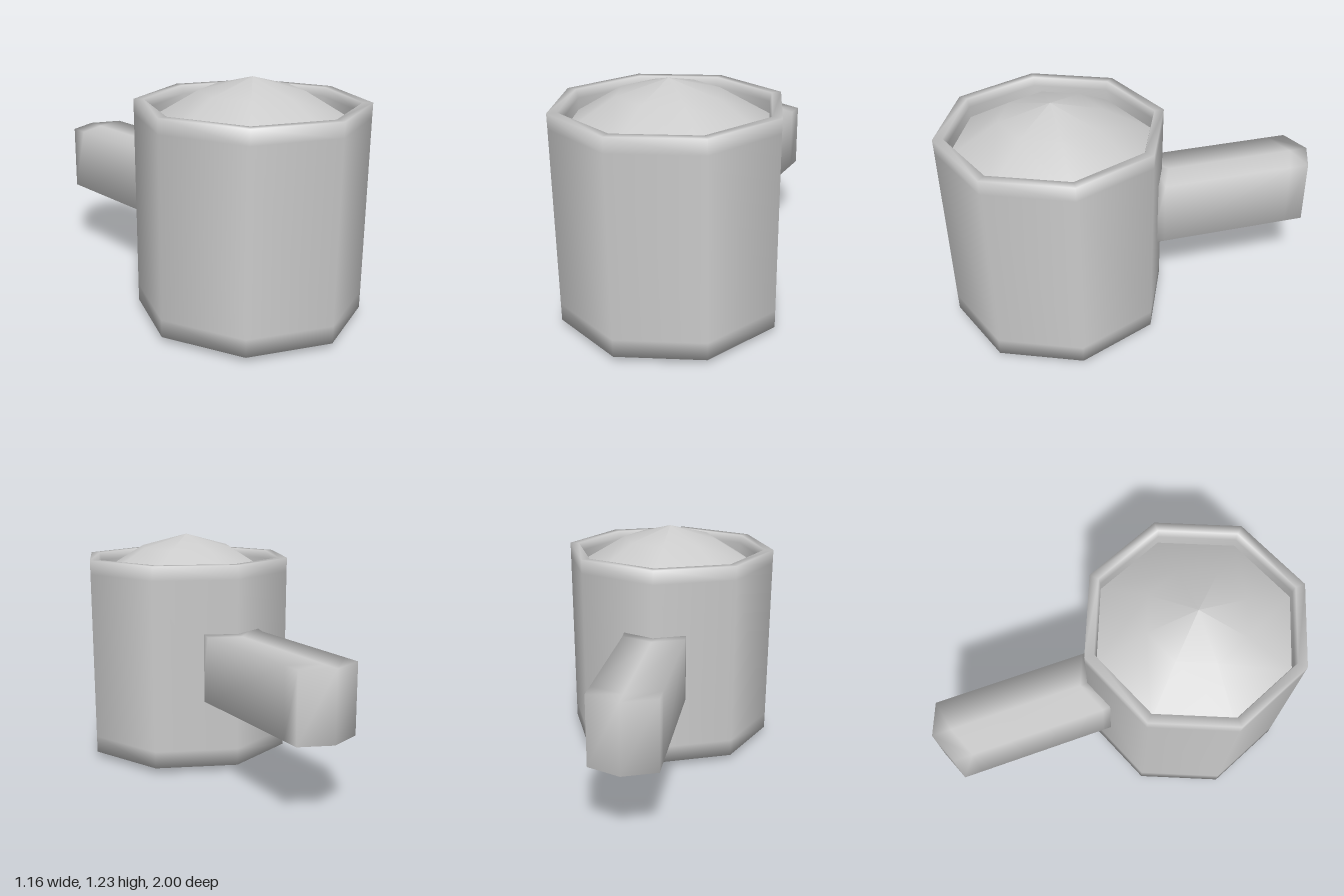
import * as THREE from 'three';
import { mergeVertices } from 'three/addons/utils/BufferGeometryUtils.js';

const SIDES = 8;
const POT_Z = 0.415;

const material = new THREE.MeshStandardMaterial({ color: 0xcccccc });

// Octagonal turned part with a corner facing the front
function turned(name, profile) {
  const points = profile.map(([r, y]) => new THREE.Vector2(r, y));
  const mesh = new THREE.Mesh(new THREE.LatheGeometry(points, SIDES), material);
  mesh.name = name;
  mesh.position.z = POT_Z;
  return mesh;
}

// Rectangular bar whose rings follow the angled back of the pot
function handleGeometry() {
  const ringZ = [-1, -0.9, -0.2, -0.13];
  const geometry = new THREE.BoxGeometry(0.33, 0.35, 3, 2, 1, 3);
  const p = geometry.attributes.position;
  for (let i = 0; i < p.count; i++) {
    const ring = Math.round(p.getZ(i) + 1.5);
    const x = p.getX(i);
    const flare = ring === 3 && p.getY(i) > 0 ? 0.015 : 0;
    p.setXYZ(i, x, p.getY(i) + 0.565 + flare, ringZ[ring] + 0.4 * Math.abs(x));
  }
  // Shared corners give the soft shading over the edges
  geometry.deleteAttribute('uv');
  geometry.deleteAttribute('normal');
  const merged = mergeVertices(geometry);
  merged.computeVertexNormals();
  return merged;
}

export function createModel() {
  const group = new THREE.Group();
  group.name = 'pot';

  // Body: shallow pointed base, near-straight wall, rim and inner wall
  group.add(turned('body', [
    [0, 0], [0.573, 0.03], [0.574, 0.12], [0.579, 1.03], [0.58, 1.105],
    [0.53, 1.105], [0.52, 1.06], [0.52, 0.96],
  ]));

  // Domed lid resting inside the rim
  group.add(turned('lid', [[0.52, 1.0], [0.26, 1.155], [0, 1.225]]));

  const handle = new THREE.Mesh(handleGeometry(), material);
  handle.name = 'handle';
  group.add(handle);

  return group;
}
